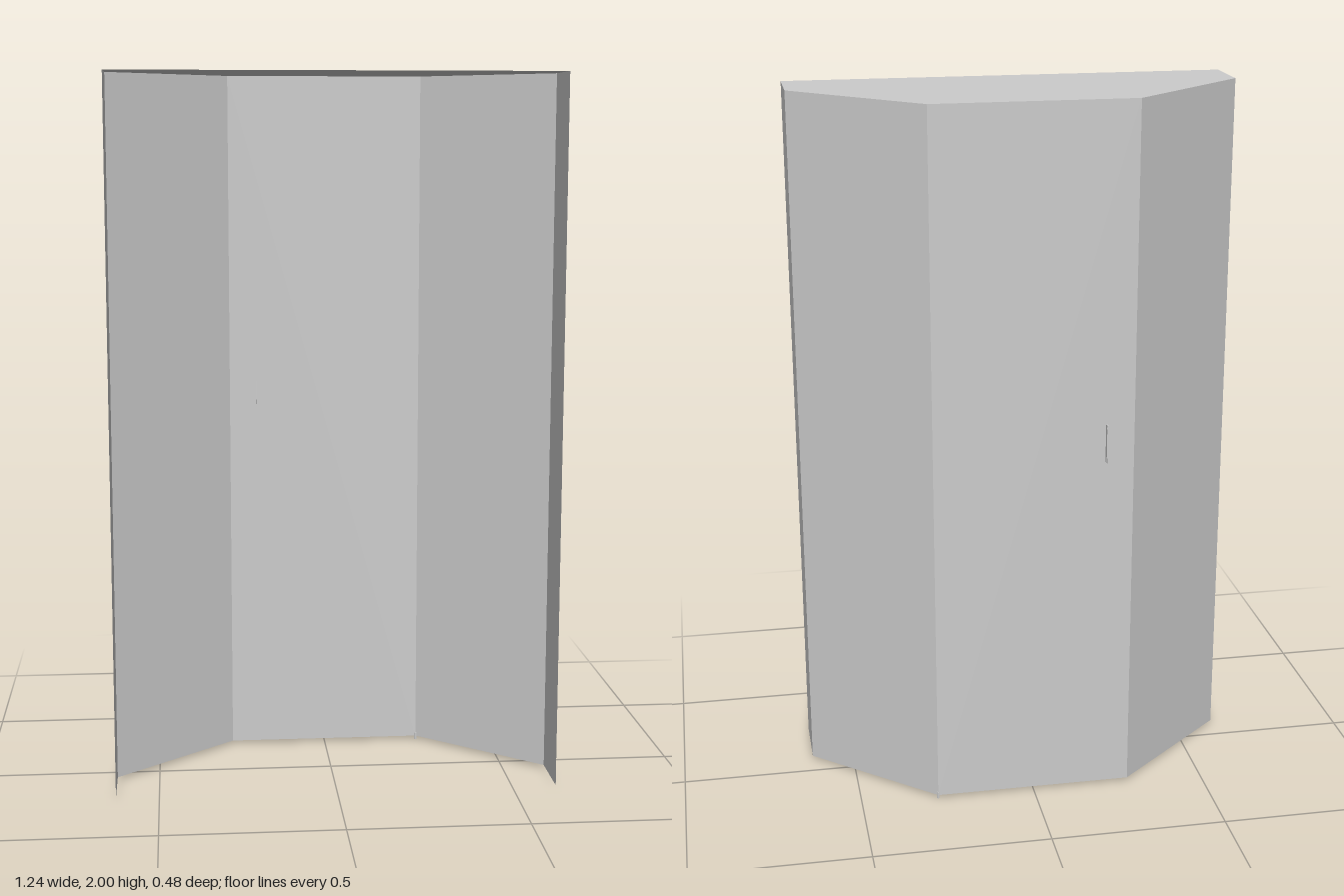
import * as THREE from 'three';

const material = new THREE.MeshStandardMaterial({ color: 0xcccccc, flatShading: true, side: THREE.DoubleSide });

const BOTTOM = 0.01, TOP = 2;
// Plan of the enclosure as [x, z], from the right front edge round the back to the left front edge
const PLAN = [[-0.62, 0.241], [-0.62, 0.07], [-0.28, -0.226], [0.28, -0.226], [0.62, 0.07], [0.62, 0.241]];
const NAMES = ['rightSidePanel', 'rightAngledPanel', 'backDoor', 'leftAngledPanel', 'leftSidePanel'];

function add(group, name, geometry, x = 0, y = 0, z = 0) {
  const mesh = new THREE.Mesh(geometry, material);
  mesh.name = name;
  mesh.position.set(x, y, z);
  group.add(mesh);
  return mesh;
}

export function createModel() {
  const group = new THREE.Group();
  group.name = 'angledEnclosure';

  // Thin upright panels between neighbouring plan corners; front and bottom stay open
  NAMES.forEach((name, i) => {
    const [x0, z0] = PLAN[i], [x1, z1] = PLAN[i + 1];
    const sheet = new THREE.PlaneGeometry(Math.hypot(x1 - x0, z1 - z0), TOP - BOTTOM);
    const panel = add(group, name, sheet, (x0 + x1) / 2, (TOP + BOTTOM) / 2, (z0 + z1) / 2);
    // Turn the face outwards
    panel.rotation.y = Math.PI - Math.atan2(z1 - z0, x1 - x0) ;
  });

  // Flat roof sheet following the plan
  const outline = new THREE.Shape(PLAN.map(([x, z]) => new THREE.Vector2(x, -z)));
  add(group, 'roof', new THREE.ShapeGeometry(outline).rotateX(-Math.PI / 2), 0, TOP, 0);

  // Door pull: a slim blade with a small lip, reaching just through the door
  const pull = new THREE.Group();
  pull.name = 'doorHandle';
  add(pull, 'handleBlade', new THREE.BoxGeometry(0.003, 0.11, 0.016), -0.201, 1.06, -0.232);
  add(pull, 'handleLip', new THREE.BoxGeometry(0.006, 0.11, 0.002), -0.204, 1.06, -0.24);
  group.add(pull);

  // Small hinge pin under the door corner
  add(group, 'hingePin', new THREE.CylinderGeometry(0.004, 0.004, 0.02, 8), 0.28, 0.01, -0.224);

  return group;
}
